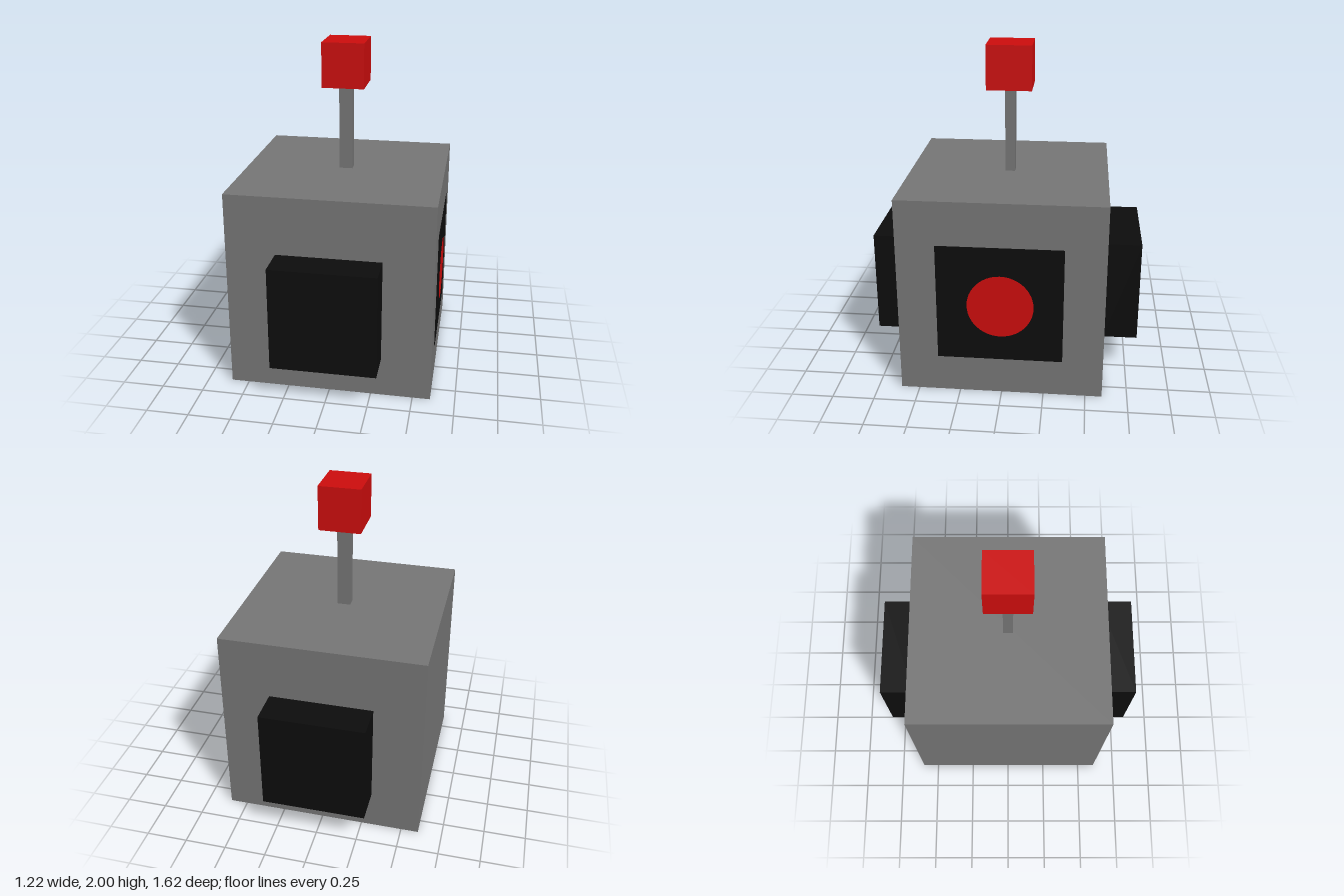
import * as THREE from 'three';

const paint = (name, color) => {
  const material = new THREE.MeshStandardMaterial({ color });
  material.name = name;
  return material;
};

export function createModel() {
  const grey = paint('grey', 0x757575);
  const black = paint('black', 0x0d0d0d);
  const red = paint('red', 0xcc0d0d);

  const model = new THREE.Group();
  model.name = 'robotHead';

  const add = (name, geometry, material, x, y, z) => {
    const mesh = new THREE.Mesh(geometry, material);
    mesh.name = name;
    mesh.position.set(x, y, z);
    model.add(mesh);
    return mesh;
  };
  const box = (name, material, [w, h, d], [x, y, z]) =>
    add(name, new THREE.BoxGeometry(w, h, d), material, x, y, z);

  // Cube head
  box('head', grey, [1.21, 1.215, 1.21], [0, 0.6075, 0.005]);

  // Block ears on the front and back faces
  for (const [name, side] of [['frontEar', 1], ['backEar', -1]]) {
    box(name, black, [0.62, 0.625, 0.21], [0, 0.5525, side * 0.705]);
  }

  // Antenna with a cube tip
  box('antennaRod', grey, [0.08, 0.52, 0.06], [0, 1.475, 0]);
  box('antennaTip', red, [0.25, 0.265, 0.27], [0, 1.8675, 0]);

  // Face plate on the +x side, with a round eye painted on it
  box('facePlate', black, [0.004, 0.72, 0.74], [0.606, 0.587, 0.01]);
  const eye = add('eye', new THREE.CircleGeometry(0.195, 48), red, 0.6105, 0.577, 0.007);
  eye.rotation.y = Math.PI / 2;

  return model;
}
